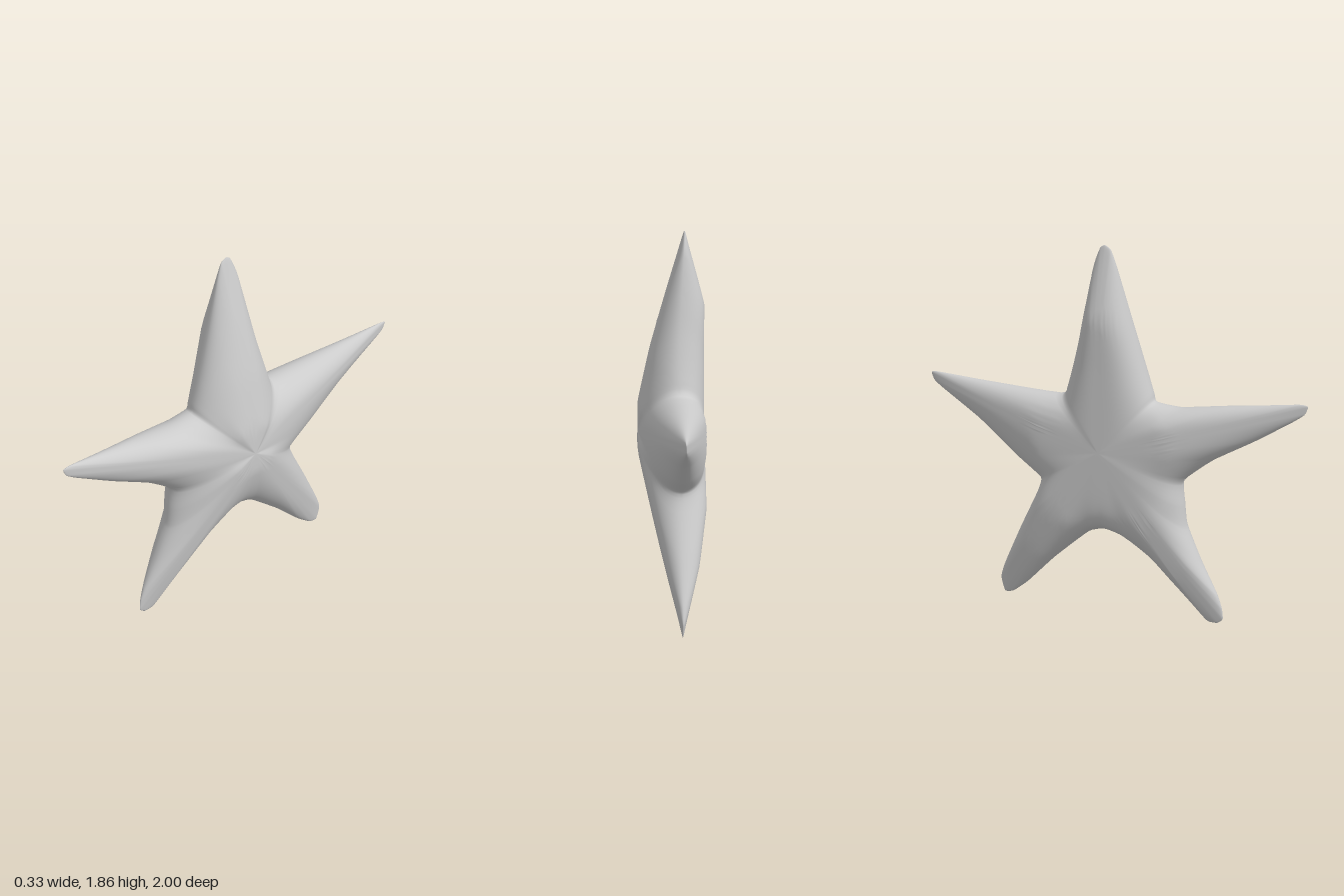
import * as THREE from 'three';

const CENTRE_Y = 0.85;

// Outline as [z, y], anticlockwise seen from +x, starting at the top tip
const OUTLINE = [
  [0, 1.855], [0.03, 1.835], [0.06, 1.75], [0.13, 1.5], [0.19, 1.29], [0.235, 1.14], [0.25, 1.1],
  [0.38, 1.085], [0.6, 1.11], [0.8, 1.13], [0.96, 1.147], [1, 1.14], [0.985, 1.1], [0.93, 1.06],
  [0.75, 0.95], [0.55, 0.84], [0.4, 0.72], [0.405, 0.6], [0.42, 0.48],
  [0.5, 0.3], [0.58, 0.15], [0.605, 0.08], [0.61, 0.025], [0.58, 0], [0.53, 0.005], [0.45, 0.09],
  [0.27, 0.28], [0.1, 0.4], [0, 0.43], [-0.1, 0.4], [-0.3, 0.23], [-0.45, 0.08],
  [-0.54, 0.01], [-0.59, 0.003], [-0.61, 0.08], [-0.58, 0.17], [-0.48, 0.38], [-0.38, 0.58],
  [-0.36, 0.66], [-0.5, 0.76], [-0.72, 0.93], [-0.93, 1.06], [-0.985, 1.1], [-1, 1.14], [-0.96, 1.145],
  [-0.7, 1.125], [-0.25, 1.1], [-0.2, 1.17], [-0.13, 1.42], [-0.06, 1.75], [-0.025, 1.84],
];

// Ridge heights along each kind of arm as [radius, x]
const ARMS = {
  top: {
    front: [[0, 0.162], [0.15, 0.158], [0.42, 0.1], [1.01, -0.055]],
    back: [[0, -0.165], [0.42, -0.163], [0.65, -0.167], [1.01, -0.085]],
    edge: [[0, -0.03], [0.42, -0.03], [1.01, -0.07]],
  },
  side: {
    front: [[0, 0.162], [0.42, 0.1], [1.05, 0.01]],
    back: [[0, -0.165], [0.35, -0.152], [1.05, -0.01]],
    edge: [[0, -0.03], [0.42, -0.03], [1.05, 0]],
  },
  leg: {
    front: [[0, 0.162], [0.12, 0.16], [0.42, 0.105], [1.05, -0.01]],
    back: [[0, -0.165], [0.42, -0.16], [0.7, -0.115], [1.05, -0.03]],
    edge: [[0, -0.03], [0.42, -0.03], [1.05, -0.02]],
  },
};

function sample(knots, r) {
  for (let i = 1; i < knots.length; i++) {
    const [r0, x0] = knots[i - 1], [r1, x1] = knots[i];
    if (r <= r1) return x0 + ((x1 - x0) * (r - r0)) / (r1 - r0);
  }
  return knots[knots.length - 1][1];
}

// Height at a radius, blended from arm to arm across the notches
function height(surface, p, r) {
  const elevation = THREE.MathUtils.radToDeg(Math.atan2(p.y - CENTRE_Y, Math.abs(p.z)));
  const toTop = THREE.MathUtils.smoothstep(elevation, 36, 62);
  const toLeg = 1 - THREE.MathUtils.smoothstep(elevation, -34, -6);
  return sample(ARMS.top[surface], r) * toTop + sample(ARMS.leg[surface], r) * toLeg
    + sample(ARMS.side[surface], r) * (1 - toTop - toLeg);
}

// Fullness of the section: sunken at the notches, fuller along the arms;
// the back stays flat right up to the notch between the legs
function fullness(surface, p) {
  const reach = Math.hypot(p.z, p.y - CENTRE_Y);
  const along = THREE.MathUtils.clamp((reach - 0.38) / 0.6, 0, 1);
  if (surface === 'front') return 3 + 3 * along;
  const crotch = Math.exp(-((p.z / 0.15) ** 2)) * (p.y < CENTRE_Y ? 1 : 0);
  return 4 + 4 * Math.max(along, crotch);
}

function createStarGeometry(segments = 220, rings = 22) {
  const curve = new THREE.CatmullRomCurve3(
    OUTLINE.map(([z, y]) => new THREE.Vector3(0, y, z)), true, 'catmullrom', 0.25);
  const rim = Array.from({ length: segments }, (_, i) => curve.getPoint(i / segments));
  const positions = [], index = [];

  // Shared rim
  for (const p of rim) {
    const r = Math.hypot(p.z, p.y - CENTRE_Y);
    positions.push(height('edge', p, r), Math.max(0, p.y), p.z);
  }

  // Domed front and flatter back, each a stack of shrinking rings
  for (const surface of ['front', 'back']) {
    const triangle = (a, b, c) => surface === 'front' ? index.push(a, b, c) : index.push(a, c, b);
    let outer = 0;
    for (let k = 1; k < rings; k++) {
      const t = Math.cos((k / rings) * Math.PI / 2);
      const start = positions.length / 3;
      for (const p of rim) {
        const y = CENTRE_Y + (p.y - CENTRE_Y) * t, z = p.z * t;
        const r = Math.hypot(z, y - CENTRE_Y);
        const swell = Math.sqrt(1 - Math.pow(t, fullness(surface, p)));
        const x = THREE.MathUtils.lerp(height('edge', p, r), height(surface, p, r), swell);
        positions.push(x, Math.max(0, y), z);
      }
      for (let i = 0; i < segments; i++) {
        const j = (i + 1) % segments;
        triangle(outer + i, outer + j, start + j);
        triangle(outer + i, start + j, start + i);
      }
      outer = start;
    }
    // Centre cap
    const centre = positions.length / 3;
    positions.push(ARMS.top[surface][0][1], CENTRE_Y, 0);
    for (let i = 0; i < segments; i++) triangle(centre, outer + i, outer + (i + 1) % segments);
  }

  const geometry = new THREE.BufferGeometry();
  geometry.setAttribute('position', new THREE.Float32BufferAttribute(positions, 3));
  geometry.setIndex(index);
  geometry.computeVertexNormals();
  return geometry;
}

export function createModel() {
  const group = new THREE.Group();
  group.name = 'starfish';
  const body = new THREE.Mesh(createStarGeometry(), new THREE.MeshStandardMaterial({ color: 0xcccccc }));
  body.name = 'fiveArmedBody';
  group.add(body);
  return group;
}
